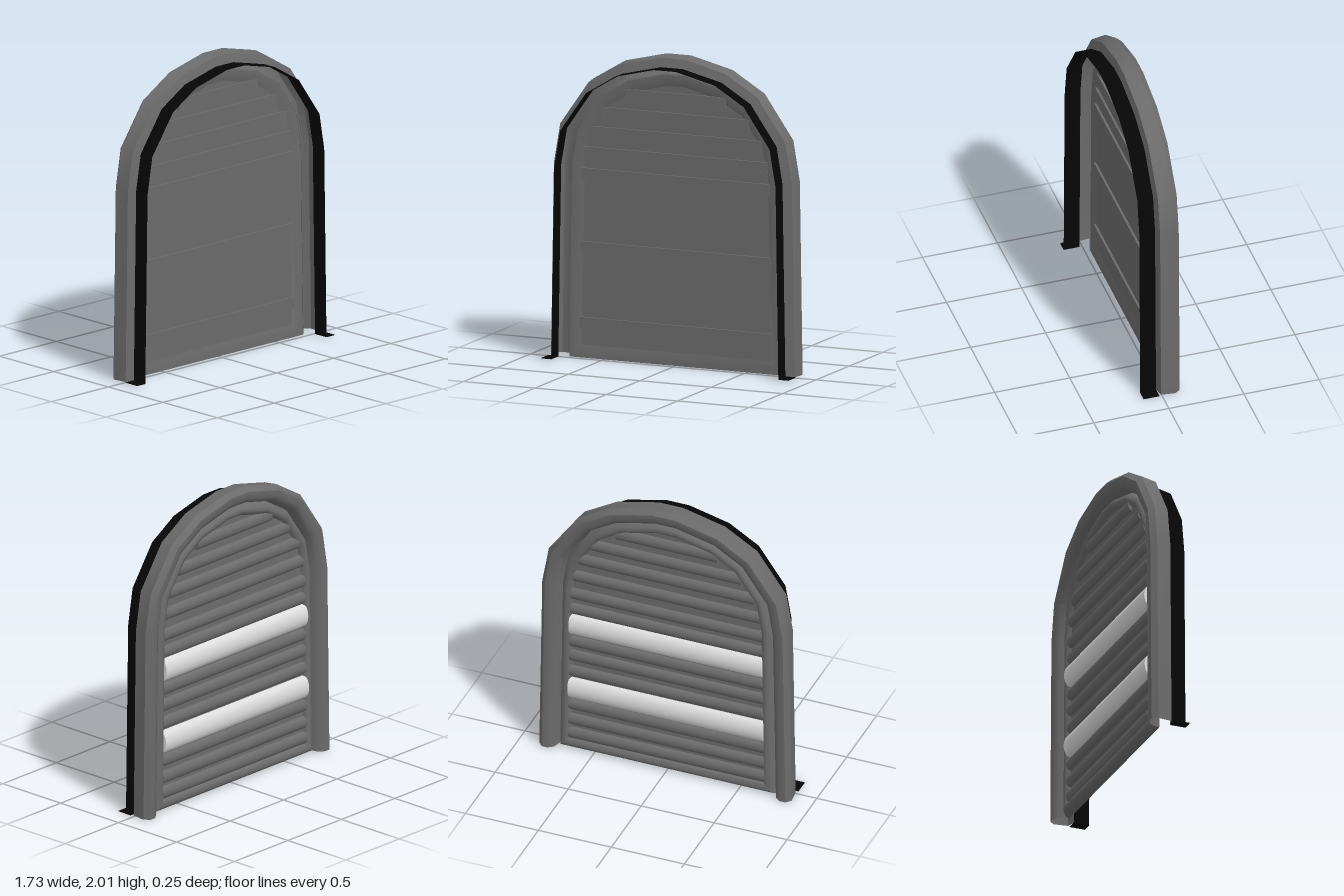
import * as THREE from 'three';
import { toCreasedNormals } from 'three/addons/utils/BufferGeometryUtils.js';

const mat = (name, color) => new THREE.MeshStandardMaterial({ name, color, side: THREE.DoubleSide });

// Right half of the arch outline, above the foot
const HALF = [[0.845, 1.25], [0.8, 1.51], [0.6, 1.795], [0.375, 1.93], [0.085, 2.0]];

// Full outline, counter-clockwise from the right foot to the left foot
function arch(footY) {
  const right = [[0.865, footY], ...HALF];
  const left = right.map(([x, y]) => [-x, y]).reverse();
  return [...right, ...left].map(([x, y]) => new THREE.Vector2(x, y));
}

// Mitred inward offset of an outline
function inset(pts, d, closed) {
  const n = pts.length;
  const normal = (a, b) => {
    const t = b.clone().sub(a).normalize();
    return new THREE.Vector2(-t.y, t.x);
  };
  return pts.map((p, i) => {
    if (!closed && (i === 0 || i === n - 1)) return new THREE.Vector2(p.x - Math.sign(p.x) * d, p.y);
    const a = normal(pts[(i + n - 1) % n], p);
    const b = normal(p, pts[(i + 1) % n]);
    const m = a.clone().add(b).normalize();
    return p.clone().addScaledVector(m, d / m.dot(a));
  });
}

// Sheet swept around the outline; profile points are [inset, z]
function sweep(profile, pts, closed) {
  const pos = [], idx = [], n = pts.length;
  for (const [d, z] of profile) {
    for (const p of inset(pts, d, closed)) pos.push(p.x, p.y, z);
  }
  for (let r = 0; r < profile.length - 1; r++) {
    for (let i = 0; i < (closed ? n : n - 1); i++) {
      const a = r * n + i, b = r * n + (i + 1) % n;
      idx.push(a, b, b + n, a, b + n, a + n);
    }
  }
  const g = new THREE.BufferGeometry();
  g.setAttribute('position', new THREE.Float32BufferAttribute(pos, 3));
  g.setIndex(idx);
  return toCreasedNormals(g, 0.75);
}

export function createModel() {
  const grey = mat('shutter grey', 0x6b6b6b);
  const black = mat('seal black', 0x060606);
  const pale = mat('pale bar', 0xdcdcdc);
  const group = new THREE.Group();
  const add = (name, geometry, material, x = 0, y = 0, z = 0) => {
    const m = new THREE.Mesh(geometry, material);
    m.name = name;
    m.position.set(x, y, z);
    group.add(m);
    return m;
  };

  const open = arch(0), loop = arch(-0.125);

  // Hollow outer frame with a front lip, open towards the front inside the lip
  add('outerFrame', sweep([[0.07, 0.02], [0.012, 0.005], [0, -0.09], [0.03, -0.125], [0.07, -0.125],
    [0.105, -0.1], [0.125, -0.03]], open, false), grey);

  // Rounded bead around the shutter, including the bottom rail
  add('innerBead', sweep([[0.12, -0.035], [0.132, -0.065], [0.15, -0.085], [0.17, -0.09],
    [0.19, -0.08], [0.205, -0.05]], loop, true), grey);
  add('innerBeadFront', sweep([[0.12, -0.035], [0.16, -0.035], [0.205, -0.05]], loop, true), grey);

  // Black seal strip standing forward of the frame, with a flat foot each side
  add('sealStrip', sweep([[0.07, 0.02], [0.07, 0.125]], open, false), black);
  for (const side of [-1, 1]) {
    add('sealFoot', new THREE.BoxGeometry(0.07, 0.004, 0.105), black, side * 0.83, 0.002, 0.0725);
  }

  // Shutter sheet filling the bead
  const edge = inset(loop, 0.2, true);
  const sheet = new THREE.ExtrudeGeometry(new THREE.Shape(edge), { depth: 0.008, bevelEnabled: false });
  add('shutterSheet', sheet, grey, 0, 0, -0.057);

  // Half width of the sheet at a given height
  const halfWidth = (y) => {
    for (let i = 0; i < 5; i++) {
      const a = edge[i], b = edge[i + 1];
      if (y <= b.y) return THREE.MathUtils.mapLinear(y, a.y, b.y, a.x, b.x);
    }
    return 0.1;
  };

  // Half-round bar along x, bulging backwards
  const bar = (name, y, height, depth, material) => {
    const length = 2 * (halfWidth(y) + 0.012);
    const g = new THREE.CylinderGeometry(1, 1, length, 12, 1, false, Math.PI / 2, Math.PI);
    g.rotateZ(Math.PI / 2);
    add(name, g, material, 0, y, -0.055).scale.set(1, height / 2, depth);
  };

  // Slat ribs on the back
  for (const y of [0.115, 0.22, 0.335, 0.59, 0.71, 0.82, 1.07, 1.185, 1.325, 1.46, 1.59, 1.72]) {
    bar('slatRib', y, 0.085, 0.03, grey);
  }
  // Two wide pale bars on the back
  for (const y of [0.462, 0.95]) bar('paleBar', y, 0.155, 0.048, pale);

  // Slat faces on the front
  for (const y of [0.22, 0.71, 1.185, 1.325, 1.46, 1.59, 1.72]) {
    add('slatFace', new THREE.BoxGeometry(2 * (halfWidth(y) + 0.012), 0.073, 0.02), grey, 0, y, -0.045);
  }
  return group;
}
